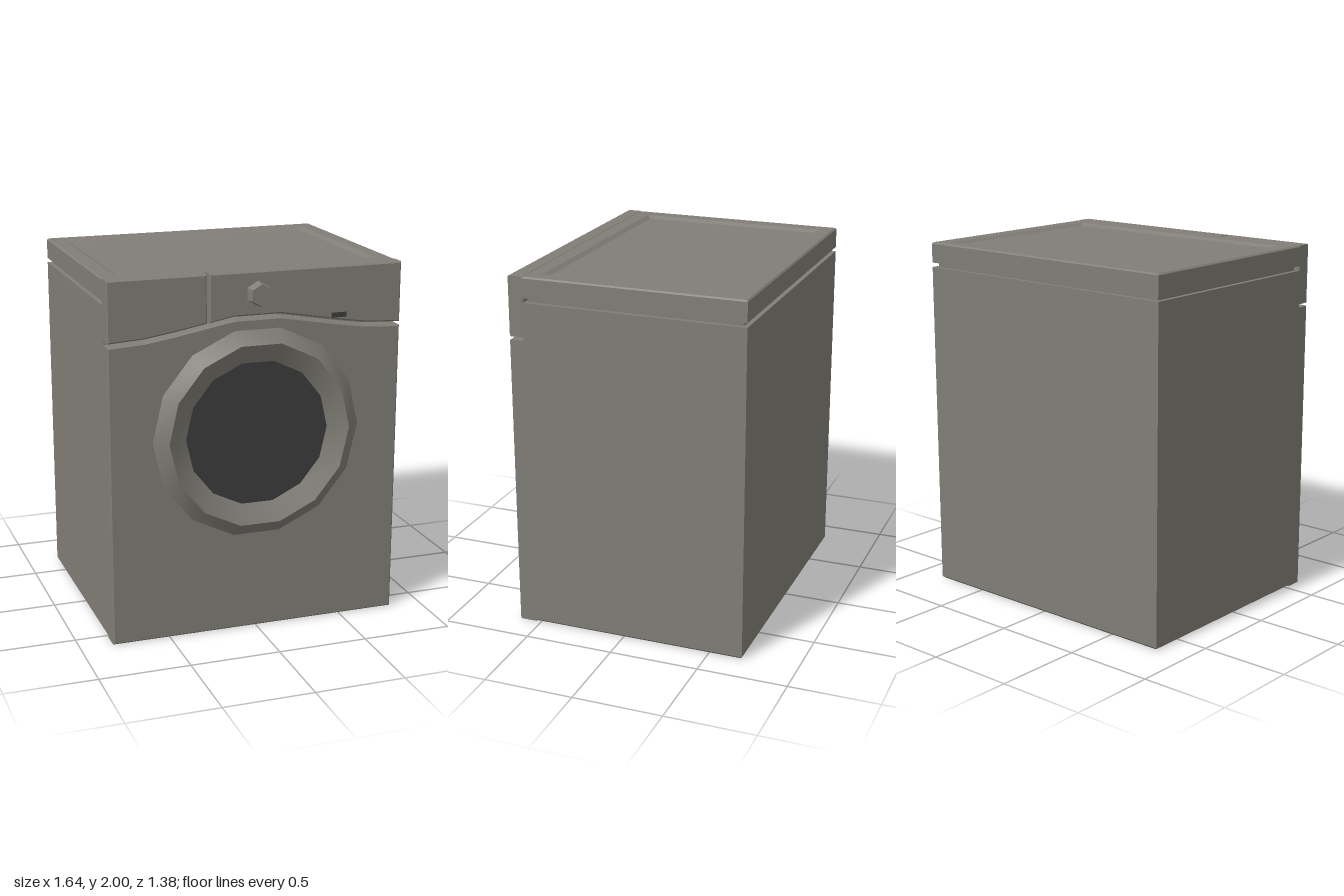
import * as THREE from 'three';
import { toCreasedNormals } from 'three/addons/utils/BufferGeometryUtils.js';

const W = 0.82, BACK = -0.69, SEAM = 0.55, FRONT = 0.63;

// Stack of rectangles, each [y, inset], closed at both ends
function rectStack(profile) {
  const pos = [];
  const rings = profile.map(([y, d]) => [
    [W - d, y, SEAM - d], [W - d, y, BACK + d], [-W + d, y, BACK + d], [-W + d, y, SEAM - d],
  ]);
  const quad = (a, b, c, d) => pos.push(...a, ...b, ...c, ...a, ...c, ...d);
  for (let r = 0; r < rings.length - 1; r++) {
    for (let i = 0; i < 4; i++) {
      const j = (i + 1) % 4;
      quad(rings[r][i], rings[r][j], rings[r + 1][j], rings[r + 1][i]);
    }
  }
  const [b, t] = [rings[0], rings[rings.length - 1]];
  quad(b[3], b[2], b[1], b[0]);
  quad(t[0], t[1], t[2], t[3]);
  const geo = new THREE.BufferGeometry();
  geo.setAttribute('position', new THREE.Float32BufferAttribute(pos, 3));
  geo.computeVertexNormals();
  return geo;
}

// Front plate with a small chamfer, running from zStart to FRONT
function frontPlate(points, zStart) {
  const c = 0.008;
  const geo = new THREE.ExtrudeGeometry(new THREE.Shape(points.map(p => new THREE.Vector2(...p))), {
    depth: FRONT - zStart - 2 * c, bevelThickness: c, bevelSize: c, bevelOffset: -c, bevelSegments: 1,
  });
  return geo.translate(0, 0, zStart + c);
}

export function createModel() {
  const group = new THREE.Group();
  const casing = new THREE.MeshStandardMaterial({ color: 0x807e76 });
  casing.name = 'warm grey casing';
  const dark = new THREE.MeshStandardMaterial({ color: 0x3c3c3c });
  dark.name = 'dark glass';
  const add = (name, geo, mat = casing) => {
    const mesh = new THREE.Mesh(geo, mat);
    mesh.name = name;
    group.add(mesh);
    return mesh;
  };

  // Cabinet, groove under the lid, and lid with a sunken top
  add('cabinetAndLid', rectStack([
    [0, 0.012], [0.012, 0], [1.86, 0], [1.86, 0.025], [1.885, 0.025],
    [1.885, 0], [1.992, 0], [2, 0.008], [2, 0.085], [1.985, 0.11],
  ]));

  // Wavy seam between the lower front and the control panels
  const half = [[0.13, 1.765], [0.29, 1.737], [0.45, 1.708], [0.62, 1.682], [W, 1.67]];
  const wave = [...half.map(([x, y]) => [-x, y]).reverse(), ...half];
  add('lowerFront', frontPlate(
    [[-W, 0], [W, 0], ...wave.map(([x, y]) => [x, y - 0.018]).reverse()], 0.52));

  // Control panels either side of the upright gap
  const gapY = 1.74;
  add('drawerPanel', frontPlate(
    [...wave.filter(p => p[0] < -0.285), [-0.281, gapY], [-0.281, 2], [-W, 2]], 0.54));
  add('controlPanel', frontPlate(
    [[-0.269, gapY], ...wave.filter(p => p[0] > -0.26), [W, 2], [-0.269, 2]], 0.54));

  // Door ring with fourteen sides and a sunken middle
  const ring = new THREE.LatheGeometry(
    [[0.59, 0.625], [0.51, 0.69], [0.4, 0.632]].map(p => new THREE.Vector2(...p)), 14, Math.PI / 2);
  ring.rotateX(Math.PI / 2);
  add('doorRing', toCreasedNormals(ring, 0.5)).position.y = 1.12;
  add('doorGlass', new THREE.CircleGeometry(0.402, 14), dark).position.set(0, 1.12, 0.634);

  // Six-sided knob
  const knob = new THREE.CylinderGeometry(0.059, 0.068, 0.06, 6).toNonIndexed();
  knob.computeVertexNormals();
  knob.rotateX(Math.PI / 2);
  add('knob', knob).position.set(0, 1.882, 0.66);

  // Small indicator plate
  add('indicator', new THREE.BoxGeometry(0.085, 0.026, 0.006), dark).position.set(0.46, 1.735, 0.632);

  return group;
}
